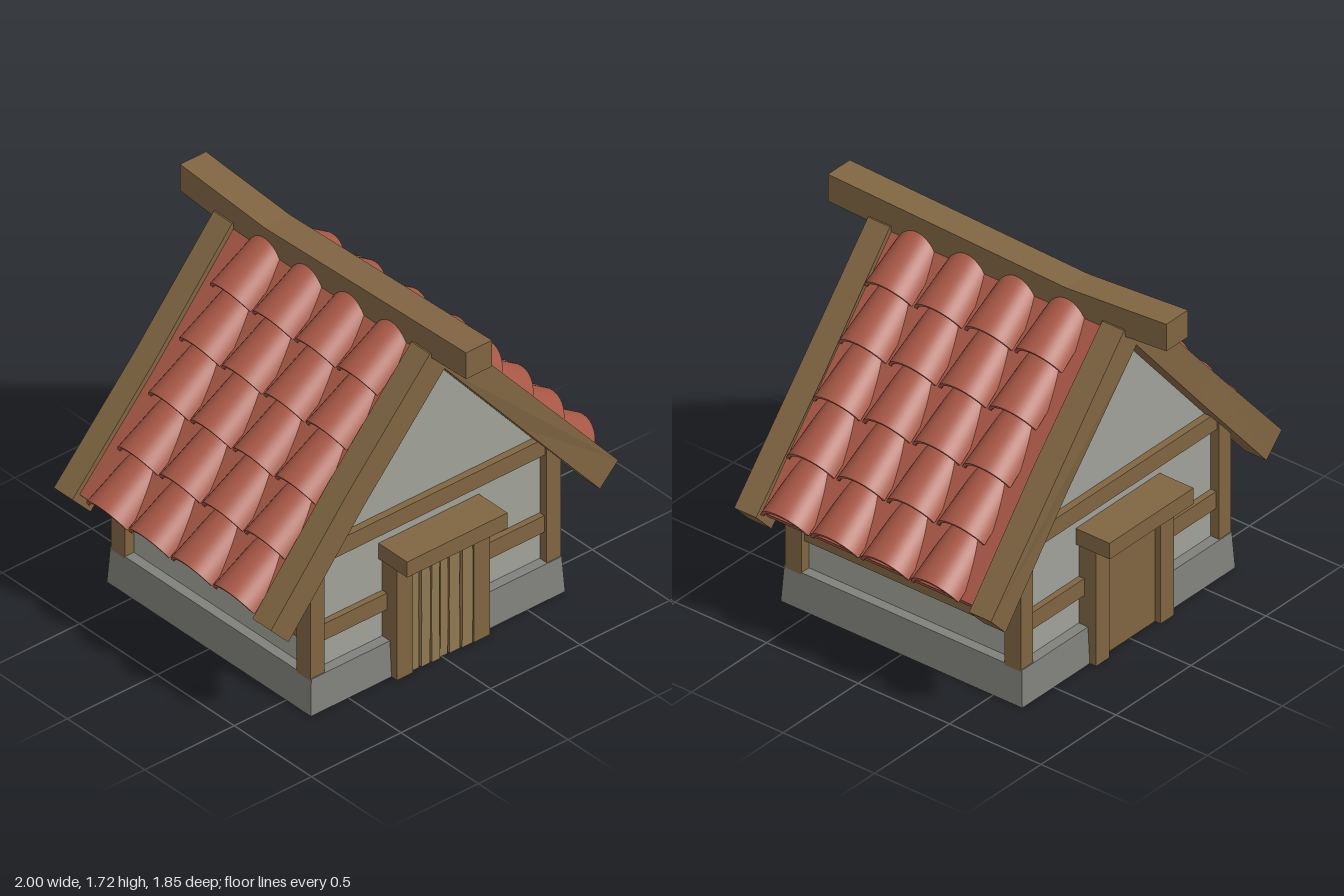
import * as THREE from 'three';
import { toCreasedNormals } from 'three/addons/utils/BufferGeometryUtils.js';

const mat = (color) => new THREE.MeshStandardMaterial({ color });

export function createModel() {
  const root = new THREE.Group();
  const wood = mat(0x806542), plank = mat(0x8f7850), stone = mat(0x80807b);
  const plaster = mat(0xa0a198), clay = mat(0xa85846);

  const add = (name, geometry, material) => {
    const mesh = new THREE.Mesh(geometry, material);
    mesh.name = name;
    root.add(mesh);
    return mesh;
  };
  // box given by its limits on each axis
  const box = (name, material, [x0, x1], [y0, y1], [z0, z1]) => {
    const g = new THREE.BoxGeometry(x1 - x0, y1 - y0, z1 - z0);
    g.translate((x0 + x1) / 2, (y0 + y1) / 2, (z0 + z1) / 2);
    return add(name, g, material);
  };
  // range mirrored to the given side
  const side = (s, a, b) => (s > 0 ? [a, b] : [-b, -a]);
  // outline extruded along z, centred
  const prism = (points, depth) => {
    const shape = new THREE.Shape(points.map(([x, y]) => new THREE.Vector2(x, y)));
    const g = new THREE.ExtrudeGeometry(shape, { depth, bevelEnabled: false });
    return g.translate(0, 0, -depth / 2);
  };
  const moveVertices = (g, rule) => {
    const p = g.attributes.position, v = new THREE.Vector3();
    for (let i = 0; i < p.count; i++) {
      rule(v.fromBufferAttribute(p, i));
      p.setXYZ(i, v.x, v.y, v.z);
    }
    g.computeVertexNormals();
    return g;
  };

  // stone base, slightly narrower at the top
  const base = new THREE.BoxGeometry(1.42, 0.18, 1.32).translate(0, 0.09, 0);
  add('foundation', moveVertices(base, (v) => {
    if (v.y > 0.1) { v.x *= 0.985; v.z *= 0.985; }
  }), stone);

  // plaster walls with gables
  add('walls', prism([[-0.65, 0.1], [0.65, 0.1], [0.65, 0.83], [0, 1.57], [-0.65, 0.83]], 1.2), plaster);

  // timber frame
  for (const x of [-1, 1]) {
    for (const z of [-1, 1]) {
      box('cornerPost', wood, side(x, 0.62, 0.7), [0.17, 0.78], side(z, 0.555, 0.645));
    }
    box('sideRail', wood, side(x, 0.6, 0.68), [0.33, 0.415], [-0.58, 0.58]);
  }
  for (const z of [-1, 1]) {
    box('gableTieBeam', wood, [-0.66, 0.66], [0.73, 0.815], side(z, 0.56, 0.635));
    for (const x of [-1, 1]) {
      box('endRail', wood, side(x, 0.2, 0.64), [0.33, 0.415], side(z, 0.56, 0.63));
      box('doorPost', wood, side(x, 0.17, 0.26), [0, 0.6], side(z, 0.57, 0.695));
    }
    box('lintel', wood, [-0.28, 0.28], [0.585, 0.665], side(z, 0.57, 0.785));
    box('doorPanel', z > 0 ? plank : wood, [-0.17, 0.17], [0, 0.59], side(z, 0.57, 0.664));
  }

  // front door planks, uneven widths and slightly crooked edges
  const seams = [-0.17, -0.121, -0.064, -0.012, 0.038, 0.104, 0.17];
  for (let i = 0; i < 6; i++) {
    const lean = i % 2 ? 0.003 : -0.003;
    const a = seams[i] + 0.004, b = seams[i + 1] - 0.004;
    const g = prism([[a, 0], [b, 0], [b + lean, 0.3], [b, 0.59], [a, 0.59], [a + lean, 0.25]], 0.03);
    add('doorPlank', g.translate(0, 0, 0.668 + (i % 3) * 0.004), plank);
  }

  // roof deck
  add('roofDeck', prism([[0, 1.65], [-0.93, 0.59], [-0.885, 0.54], [0, 1.55],
    [0.885, 0.54], [0.93, 0.59]], 1.165), clay);

  // gable boards, gently bowed towards the middle
  const board = [[0.97, 0.58], [0.53, 1.085], [0.08, 1.6], [0, 1.6], [0, 1.49], [0.44, 0.977], [0.87, 0.475]];
  for (const z of [-1, 1]) {
    for (const x of [-1, 1]) {
      const g = prism(board.map(([px, py]) => [px * x, py]), 0.12);
      add('gableBoard', moveVertices(g, (v) => {
        v.z += z * (0.63 + 0.012 * Math.abs(Math.abs(v.x) - 0.48) / 0.48);
      }), wood);
    }
  }

  // sagging ridge beam: side profile turned to run along z
  const ridge = prism([[-0.925, 1.585], [0.38, 1.54], [0.925, 1.585],
    [0.925, 1.72], [0.38, 1.68], [-0.925, 1.72]], 0.145);
  add('ridgeBeam', ridge.rotateY(Math.PI / 2), wood);

  // curved roof tile: arched strip, narrower at its upper end
  const H = 0.09, L = 0.31, R = 0.14, T = 0.016;
  const half = Math.asin(0.131 / R), up = Math.PI / 2;
  const arch = new THREE.Shape();
  arch.absarc(0, H - R, R, up - half, up + half, false);
  arch.absarc(0, H - R, R - T, up + half, up - half, true);
  let tile = new THREE.ExtrudeGeometry(arch, { depth: L, bevelEnabled: false, curveSegments: 10 });
  tile = moveVertices(tile, (v) => { v.x *= 0.88 + 0.12 * v.z / L; });
  tile = toCreasedNormals(tile, 0.6);

  // five overlapping rows of four tiles per slope
  const c = Math.cos(0.567), s = Math.sin(0.567);
  for (const x of [-1, 1]) {
    const slope = new THREE.Group();
    slope.name = x > 0 ? 'leftTiles' : 'rightTiles';
    for (let row = 0; row < 5; row++) {
      const lipX = 0.31 + 0.1725 * row, lipY = 1.476 - 0.2025 * row;
      for (let col = 0; col < 4; col++) {
        const mesh = new THREE.Mesh(tile, clay);
        mesh.name = 'roofTile';
        const m = new THREE.Matrix4().makeBasis(
          new THREE.Vector3(0, 0, -x),
          new THREE.Vector3(x * s, c, 0),
          new THREE.Vector3(x * c, -s, 0));
        m.setPosition(x * (lipX - H * s - L * c), lipY - H * c + L * s, 0.441 - 0.2735 * col);
        m.decompose(mesh.position, mesh.quaternion, mesh.scale);
        slope.add(mesh);
      }
    }
    root.add(slope);
  }
  return root;
}
